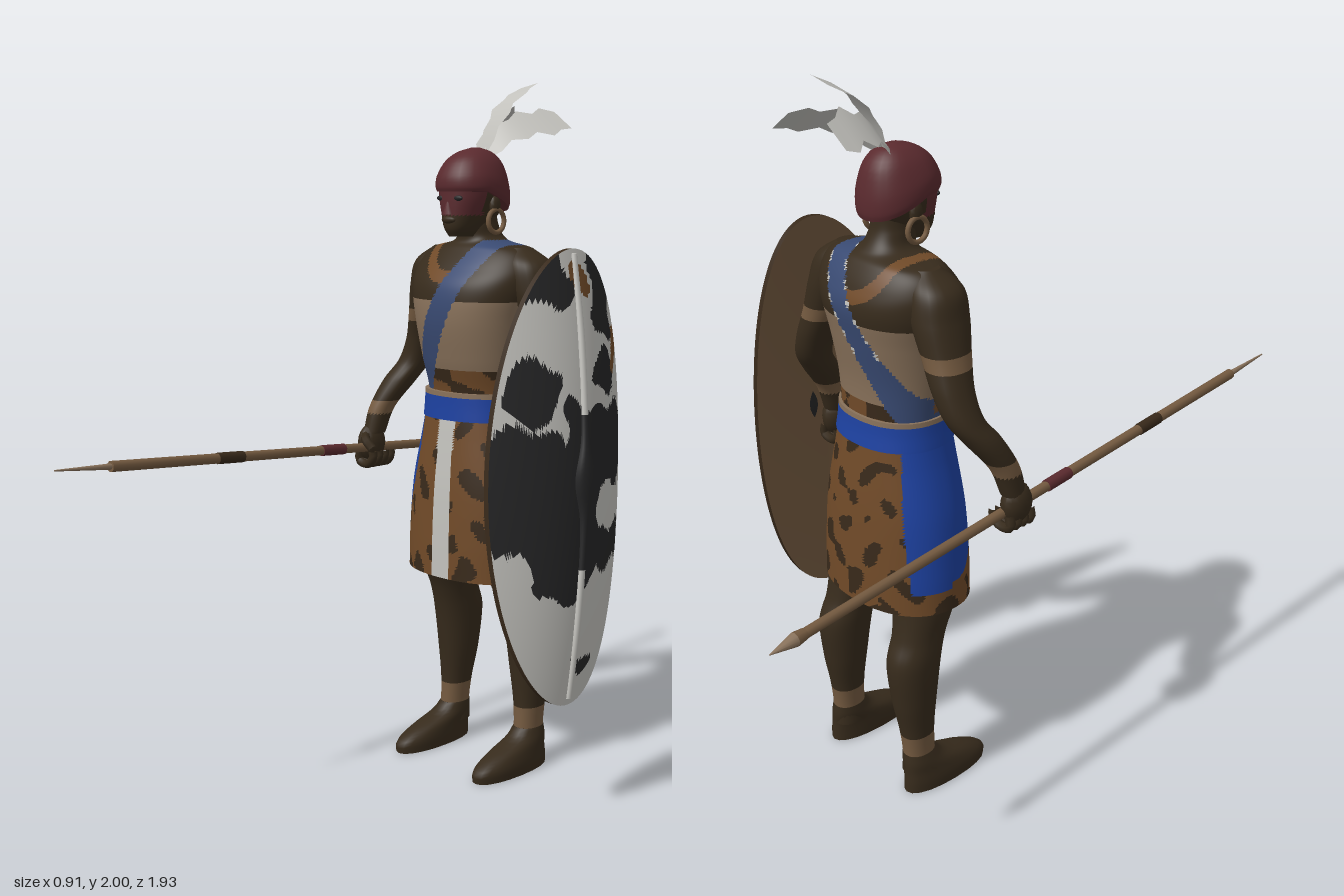
import * as THREE from 'three';

const mat = (name, color, side = THREE.FrontSide) => {
  const m = new THREE.MeshStandardMaterial({ color, side });
  m.name = name;
  return m;
};
const both = THREE.DoubleSide;
const M = {
  skin: mat('darkSkin', 0x372b1c),
  tan: mat('tanCloth', 0x88715a),
  hide: mat('brownHide', 0x704a28, both),
  spot: mat('darkSpots', 0x38291a, both),
  blue: mat('blueCloth', 0x1d41a0, both),
  sash: mat('sashBlue', 0x394a72),
  white: mat('offWhite', 0xc2c1bc, both),
  red: mat('darkRed', 0x5a2a2e),
  black: mat('black', 0x252526),
  wood: mat('wood', 0x745a40),
};

const V = (x, y, z) => new THREE.Vector3(x, y, z);

function add(parent, name, geo, material, pos) {
  const m = new THREE.Mesh(geo, material);
  m.name = name;
  if (pos) m.position.set(...pos);
  parent.add(m);
  return m;
}

// Closed tube of nu x nv cells; pick(cell centre) chooses the colour of each cell
function grid(parent, name, nu, nv, point, pick, caps = false) {
  const pos = [], cells = new Map();
  const centre = (a, b, c) => [0, 1, 2].map(k => (pos[a * 3 + k] + pos[b * 3 + k] + pos[c * 3 + k]) / 3);
  const put = (p, list) => {
    const m = pick(...p);
    if (!cells.has(m)) cells.set(m, []);
    cells.get(m).push(...list);
  };
  for (let i = 0; i <= nv; i++)
    for (let j = 0; j < nu; j++) pos.push(...point(j / nu, i / nv));
  for (let i = 0; i < nv; i++)
    for (let j = 0; j < nu; j++) {
      const k = (j + 1) % nu, a = i * nu + j, b = i * nu + k, c = b + nu, d = a + nu;
      put(centre(a, b, c), [a, b, c]);
      put(centre(a, c, d), [a, c, d]);
    }
  if (caps)
    for (const row of [0, nv]) {
      const start = pos.length / 3, mid = [0, 0, 0];
      for (let j = 0; j < nu; j++) {
        const p = pos.slice((row * nu + j) * 3, (row * nu + j) * 3 + 3);
        pos.push(...p);
        p.forEach((v, k) => { mid[k] += v / nu; });
      }
      pos.push(...mid);
      for (let j = 0; j < nu; j++) {
        const a = start + j, b = start + (j + 1) % nu;
        put(mid, row ? [a, b, start + nu] : [b, a, start + nu]);
      }
    }
  const g = new THREE.BufferGeometry(), index = [], mats = [];
  for (const [m, list] of cells) {
    g.addGroup(index.length, list.length, mats.length);
    mats.push(m);
    for (const v of list) index.push(v);
  }
  g.setAttribute('position', new THREE.Float32BufferAttribute(pos, 3));
  g.setIndex(index);
  g.computeVertexNormals();
  return add(parent, name, g, mats);
}

// Smooth body through rings [x, y, z, rx, rz], listed from bottom to top
function loft(parent, name, rings, nu, nv, pick, caps = true) {
  const mid = new THREE.CatmullRomCurve3(rings.map(r => V(r[0], r[1], r[2])), false, 'catmullrom');
  const rad = new THREE.CatmullRomCurve3(rings.map(r => V(r[3], r[4], 0)), false, 'catmullrom');
  const bend = v => Math.sign(v) * Math.abs(v) ** 0.9;
  return grid(parent, name, nu, nv, (u, v) => {
    const c = mid.getPoint(v), r = rad.getPoint(v), a = u * Math.PI * 2;
    return [c.x + r.x * bend(Math.sin(a)), c.y, c.z + r.y * bend(Math.cos(a))];
  }, pick, caps);
}

function rod(parent, name, a, b, ra, rb, material) {
  const m = add(parent, name, new THREE.CylinderGeometry(rb, ra, a.distanceTo(b), 10), material);
  m.position.copy(a).lerp(b, 0.5);
  m.quaternion.setFromUnitVectors(V(0, 1, 0), b.clone().sub(a).normalize());
}

const tube = (pts, r) => new THREE.TubeGeometry(new THREE.CatmullRomCurve3(pts), 10, r, 7);

// Animal print, denser low down and at the waist
const print = (x, y, z) =>
  Math.sin(36 * x + 2.5 * Math.sin(29 * y + 11 * z)) + Math.sin(47 * y + 2.5 * Math.sin(27 * x - 19 * z)) +
  0.7 * Math.sin(61 * z + 70 * x + 23 * y) > (y > 1.1 ? 0.1 : 0.78 + (y - 0.75) * 0.9) ? M.spot : M.hide;

function addBody(body) {
  loft(body, 'torso', [
    [0, 1.02, -0.25, 0.15, 0.12], [0, 1.12, -0.25, 0.152, 0.12], [0, 1.22, -0.24, 0.165, 0.135],
    [0, 1.33, -0.24, 0.185, 0.153], [0, 1.42, -0.25, 0.21, 0.156], [0, 1.48, -0.26, 0.212, 0.13],
    [0, 1.53, -0.265, 0.175, 0.095], [0, 1.555, -0.26, 0.075, 0.07], [0, 1.6, -0.245, 0.053, 0.06],
    [0, 1.66, -0.24, 0.05, 0.06],
  ], 120, 110, (x, y, z) => {
    // Sash from the left shoulder to the right hip, with pale stitches behind
    const across = Math.abs(x - 0.09 + (1.54 - y) * (z < -0.25 ? 0.58 : 0.5));
    if (y < 1.555 && across < 0.042)
      return z < -0.3 && y > 1.3 && across > 0.034 && Math.sin(150 * y) > 0 ? M.white : M.sash;
    if (y < (z > -0.25 ? 1.19 : 1.165)) return print(x, y, z);
    if (y < 1.385) return M.tan;
    const d = Math.hypot(x, y - 1.56);
    return d > 0.09 && d < 0.125 ? M.hide : M.skin;
  });
  // Print wrap with a pale front strip and a blue cloth on the right hip
  loft(body, 'skirt', [
    [0, 0.585, -0.25, 0.225, 0.162], [0, 0.7, -0.25, 0.222, 0.16], [0, 0.85, -0.25, 0.208, 0.153],
    [0, 1, -0.25, 0.174, 0.138], [0, 1.07, -0.25, 0.16, 0.13],
  ], 128, 70, (x, y, z) => {
    if (z > -0.2 && Math.abs(x - 0.005) < 0.031) return M.white;
    const hem = z > -0.25 ? -0.118 - (1 - y) ** 2 * 0.95 : -0.135 - (1 - y) * 0.13;
    return y > 0.65 && x < hem ? M.blue : print(x, y, z);
  }, false);
  loft(body, 'belt', [
    [0, 1.045, -0.25, 0.168, 0.138], [0, 1.085, -0.248, 0.163, 0.134], [0, 1.125, -0.247, 0.16, 0.132],
  ], 40, 12, (x, y) => (y > 1.112 ? M.tan : M.blue));

  for (const s of [-1, 1]) {
    const side = s < 0 ? 'right' : 'left';
    const limb = (part, rings, nu, nv, pick) =>
      loft(body, side + part, rings.map(r => [s * r[0], ...r.slice(1)]), nu, nv, pick);
    limb('Arm', [
      [0.36, 0.96, -0.165, 0.03, 0.034], [0.35, 1.04, -0.19, 0.036, 0.04], [0.325, 1.12, -0.24, 0.048, 0.05],
      [0.3, 1.18, -0.28, 0.047, 0.05], [0.27, 1.25, -0.29, 0.048, 0.055], [0.235, 1.33, -0.28, 0.055, 0.065],
      [0.2, 1.42, -0.27, 0.065, 0.077], [0.176, 1.49, -0.265, 0.068, 0.07], [0.145, 1.535, -0.265, 0.035, 0.035],
    ], 20, 90, (x, y) => ((y > 1.305 && y < 1.345) || (y > 1.02 && y < 1.06) ? M.wood : M.skin));

    const hand = new THREE.Group();
    hand.name = side + 'Hand';
    body.add(hand);
    add(hand, 'palm', new THREE.SphereGeometry(1, 14, 10), M.skin, [s * 0.365, 0.93, -0.158]).scale.set(0.034, 0.058, 0.048);
    for (let i = 0; i < 4; i++) {
      const z = -0.193 + i * 0.024;
      add(hand, 'finger', tube([V(s * 0.375, 0.91, z), V(s * 0.38, 0.878, z), V(s * 0.345, 0.868, z),
        V(s * 0.318, 0.888, z), V(s * 0.318, 0.91, z)], 0.0135), M.skin);
    }
    add(hand, 'thumb', tube([V(s * 0.36, 0.955, -0.13), V(s * 0.335, 0.945, -0.108), V(s * 0.31, 0.92, -0.112)], 0.014), M.skin);

    limb('Leg', [
      [0.155, 0.06, -0.315, 0.04, 0.05], [0.155, 0.12, -0.315, 0.037, 0.048], [0.153, 0.2, -0.32, 0.042, 0.052],
      [0.15, 0.3, -0.325, 0.054, 0.066], [0.147, 0.42, -0.322, 0.062, 0.08], [0.142, 0.5, -0.298, 0.064, 0.077],
      [0.135, 0.6, -0.27, 0.076, 0.09], [0.12, 0.75, -0.25, 0.085, 0.1],
    ], 22, 70, (x, y) => (y > 0.12 && y < 0.18 ? M.wood : M.skin));
    limb('Foot', [
      [0.163, 0, -0.225, 0.05, 0.145], [0.163, 0.03, -0.226, 0.051, 0.143], [0.161, 0.06, -0.252, 0.048, 0.115],
      [0.158, 0.09, -0.298, 0.044, 0.069], [0.155, 0.12, -0.315, 0.038, 0.049],
    ], 20, 14, () => M.skin);
  }
}

function addHead(body) {
  // Head with a painted face
  loft(body, 'head', [
    [0, 1.565, -0.185, 0.03, 0.045], [0, 1.59, -0.19, 0.046, 0.064], [0, 1.63, -0.21, 0.064, 0.087],
    [0, 1.68, -0.22, 0.08, 0.098], [0, 1.73, -0.225, 0.082, 0.1], [0, 1.78, -0.23, 0.055, 0.075],
  ], 36, 36, (x, y, z) => (y > 1.625 && z > -0.2 ? M.red : M.skin));
  add(body, 'nose', new THREE.ConeGeometry(0.018, 0.05, 8), M.red, [0, 1.652, -0.126]).scale.z = 0.8;
  add(body, 'lips', new THREE.SphereGeometry(1, 10, 8), M.skin, [0, 1.612, -0.128]).scale.set(0.026, 0.011, 0.012);
  for (const s of [-1, 1]) {
    add(body, 'eye', new THREE.SphereGeometry(1, 10, 8), M.black, [s * 0.032, 1.672, -0.132]).scale.set(0.018, 0.008, 0.008);
    add(body, 'ear', new THREE.SphereGeometry(1, 10, 8), M.skin, [s * 0.077, 1.65, -0.235]).scale.set(0.012, 0.03, 0.02);
    add(body, 'earring', new THREE.TorusGeometry(0.032, 0.007, 8, 20), M.wood, [s * 0.082, 1.608, -0.235]).rotation.y = Math.PI / 2;
  }
  // Cap, drawn down over the nape
  const cap = loft(body, 'cap', [
    [0, 1.69, -0.225, 0.09, 0.106], [0, 1.705, -0.225, 0.094, 0.111], [0, 1.735, -0.226, 0.09, 0.108],
    [0, 1.775, -0.23, 0.07, 0.088], [0, 1.8, -0.232, 0.042, 0.053], [0, 1.812, -0.235, 0.012, 0.015],
  ], 28, 18, () => M.red);
  const p = cap.geometry.attributes.position;
  for (let i = 0; i < p.count; i++)
    p.setY(i, p.getY(i) - Math.max(0, -0.2 - p.getZ(i)) * 4 * Math.max(0, 1.8 - p.getY(i)));
  cap.geometry.computeVertexNormals();

  // Ragged plume: ribbons whose half-widths step in and out
  const left = [0.012, 0.025, 0.04, 0.035, 0.058, 0.038, 0.062, 0.045], right = [0.012, 0.03, 0.028, 0.052, 0.036, 0.06, 0.036, 0.03];
  const plume = (pts, wide) => {
    const n = left.length - 1, g = new THREE.PlaneGeometry(1, 1, 1, n), a = g.attributes.position;
    const curve = new THREE.CatmullRomCurve3(pts);
    for (let i = 0; i <= n; i++) {
      const c = curve.getPoint(i / n), l = c.clone().addScaledVector(wide, -left[i]), r = c.clone().addScaledVector(wide, right[i]);
      a.setXYZ(i * 2, l.x, l.y, l.z);
      a.setXYZ(i * 2 + 1, r.x, r.y, r.z);
    }
    g.computeVertexNormals();
    add(body, 'plume', g, M.white);
  };
  plume([V(0, 1.79, -0.265), V(0, 1.88, -0.31), V(0.005, 1.95, -0.37), V(0.01, 1.995, -0.455)], V(0.98, 0.15, 0.1));
  plume([V(-0.01, 1.79, -0.265), V(-0.05, 1.86, -0.33), V(-0.085, 1.895, -0.42), V(-0.122, 1.9, -0.515)], V(0.9, 0.65, 0));
  plume([V(0.01, 1.79, -0.265), V(0.04, 1.86, -0.33), V(0.065, 1.885, -0.42), V(0.088, 1.89, -0.515)], V(0.9, -0.65, 0));
}

function addSpear(root) {
  const spear = new THREE.Group();
  spear.name = 'spear';
  root.add(spear);
  const at = z => V(-0.392 + z * 0.0495, 0.928 + z * 0.075, z);
  rod(spear, 'shaft', at(-0.88), at(0.8), 0.013, 0.015, M.wood);
  rod(spear, 'spike', at(0.79), at(0.967), 0.009, 0.002, M.tan);
  rod(spear, 'buttCollar', at(-0.89), at(-0.86), 0.018, 0.014, M.wood);
  rod(spear, 'buttTip', at(-0.89), at(-0.965), 0.018, 0.001, M.tan);
  rod(spear, 'redBinding', at(-0.03), at(0.06), 0.0165, 0.0165, M.red);
  rod(spear, 'darkBinding', at(0.36), at(0.45), 0.0165, 0.0165, M.spot);
}

function addShield(root) {
  const shield = new THREE.Group();
  shield.name = 'shield';
  root.add(shield);
  // The spine bows outward and the long sides curl back toward the body
  const spine = t => [0.385 - 0.055 * t + 0.05 * (1 - t * t), 0.93 + 0.61 * t, -0.165 - 0.06 * t];
  const at = (u, r, lift) => {
    const a = u * Math.PI * 2, w = r * Math.sin(a), [x, y, z] = spine(r * Math.cos(a));
    return [x - 0.1 * w * w + lift, y, z + 0.267 * w];
  };
  // Cowhide blotches as [z, y, half width, half height]
  const inside = (list, y, z) => {
    const wy = y + 0.014 * Math.sin(47 * z + 20 * y), wz = z + 0.016 * Math.sin(38 * y + 9 * z);
    return list.some(b => ((wz - b[0]) / b[2]) ** 2 + ((wy - b[1]) / b[3]) ** 2 < 1);
  };
  const dark = [[-0.03, 1.17, 0.085, 0.08], [0.01, 0.91, 0.15, 0.17], [-0.3, 1.01, 0.2, 0.11], [-0.31, 1.21, 0.07, 0.055],
    [-0.1, 0.72, 0.13, 0.11], [-0.29, 0.73, 0.13, 0.055], [-0.16, 0.9, 0.07, 0.25], [-0.15, 0.43, 0.04, 0.025],
    [-0.11, 1.46, 0.09, 0.07], [-0.33, 1.41, 0.06, 0.12]];
  const brown = [[-0.23, 1.46, 0.03, 0.06], [-0.39, 1.27, 0.03, 0.07]];
  grid(shield, 'shieldFace', 120, 60, (u, v) => at(u, 1 - 0.999 * v, 0),
    (x, y, z) => (inside(brown, y, z) ? M.hide : inside(dark, y, z) ? M.black : M.white));
  grid(shield, 'shieldRim', 120, 1, (u, v) => at(u, 1, -0.016 * (1 - v)), () => M.spot);
  grid(shield, 'shieldBack', 120, 16, (u, v) => at(u, 0.001 + 0.999 * v, -0.016), () => M.wood);
  // Central stave, swelling to a boss
  loft(shield, 'stave', [[-0.97, 0.009], [-0.6, 0.011], [-0.2, 0.013], [0, 0.036], [0.2, 0.013], [0.6, 0.011], [0.98, 0.009]]
    .map(([t, r]) => [...spine(t), Math.min(r, 0.018), r]),
  12, 48, (x, y) => (y > 0.7 && y < 1.1 ? M.black : M.white));
}

export function createModel() {
  const root = new THREE.Group();
  root.name = 'warrior';
  const body = new THREE.Group();
  body.name = 'body';
  body.position.x = -0.045;
  root.add(body);
  addBody(body);
  addHead(body);
  addSpear(root);
  addShield(root);
  return root;
}
